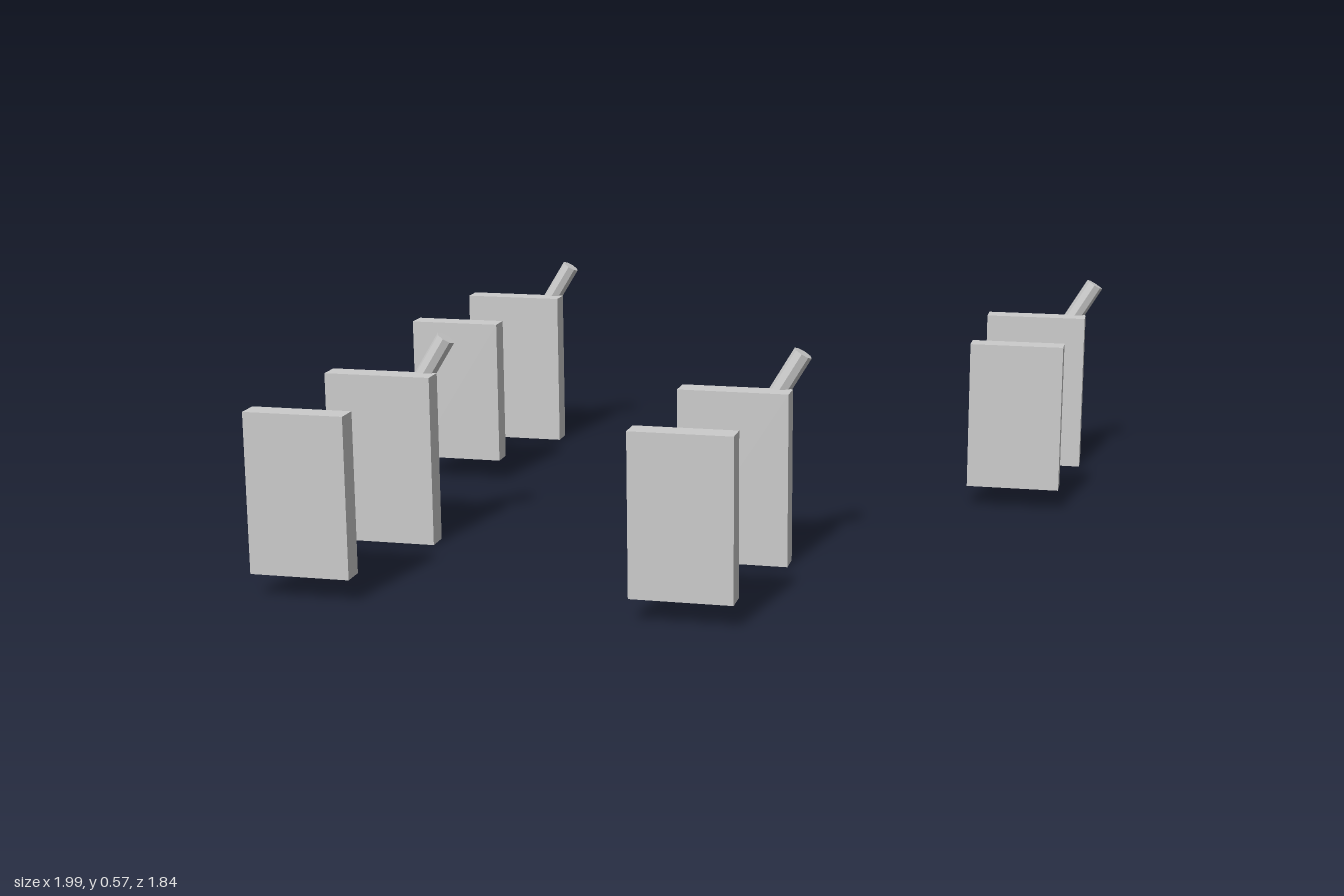
import * as THREE from 'three';

export function createModel() {
  const model = new THREE.Group();
  const material = new THREE.MeshStandardMaterial({ color: 0xcccccc, flatShading: true });

  // Box given by its minimum and maximum corners
  function slab(name, min, max) {
    const size = max.map((v, i) => v - min[i]);
    const mesh = new THREE.Mesh(new THREE.BoxGeometry(...size), material);
    mesh.position.set(...min.map((v, i) => v + size[i] / 2));
    mesh.name = name;
    return mesh;
  }

  // Slim eight-sided bar between two points
  function rod(name, from, to, radius) {
    const a = new THREE.Vector3(...from);
    const b = new THREE.Vector3(...to);
    const dir = b.clone().sub(a);
    const mesh = new THREE.Mesh(new THREE.CylinderGeometry(radius, radius, dir.length(), 8), material);
    mesh.position.copy(a).add(b).multiplyScalar(0.5);
    mesh.quaternion.setFromUnitVectors(new THREE.Vector3(0, 1, 0), dir.normalize());
    mesh.name = name;
    return mesh;
  }

  // One set: large panel with a slanted rod on its back, small panel standing in front
  function panelSet() {
    const set = new THREE.Group();
    set.name = 'panelSet';
    set.add(
      slab('largePanel', [0, 0, 0], [0.292, 0.459, 0.064]),
      slab('smallPanel', [0, 0.06, 0.526], [0.258, 0.472, 0.588]),
      rod('backRod', [0.018, 0.057, 0.009], [0.315, 0.552, -0.016], 0.026),
    );
    return set;
  }

  // Four sets, two in the back row and two in the front row
  for (const [x, z] of [[-0.993, -0.877], [0.657, -0.877], [-0.993, 0.336], [-0.029, 0.336]]) {
    const set = panelSet();
    set.position.set(x, 0, z);
    model.add(set);
  }
  return model;
}
